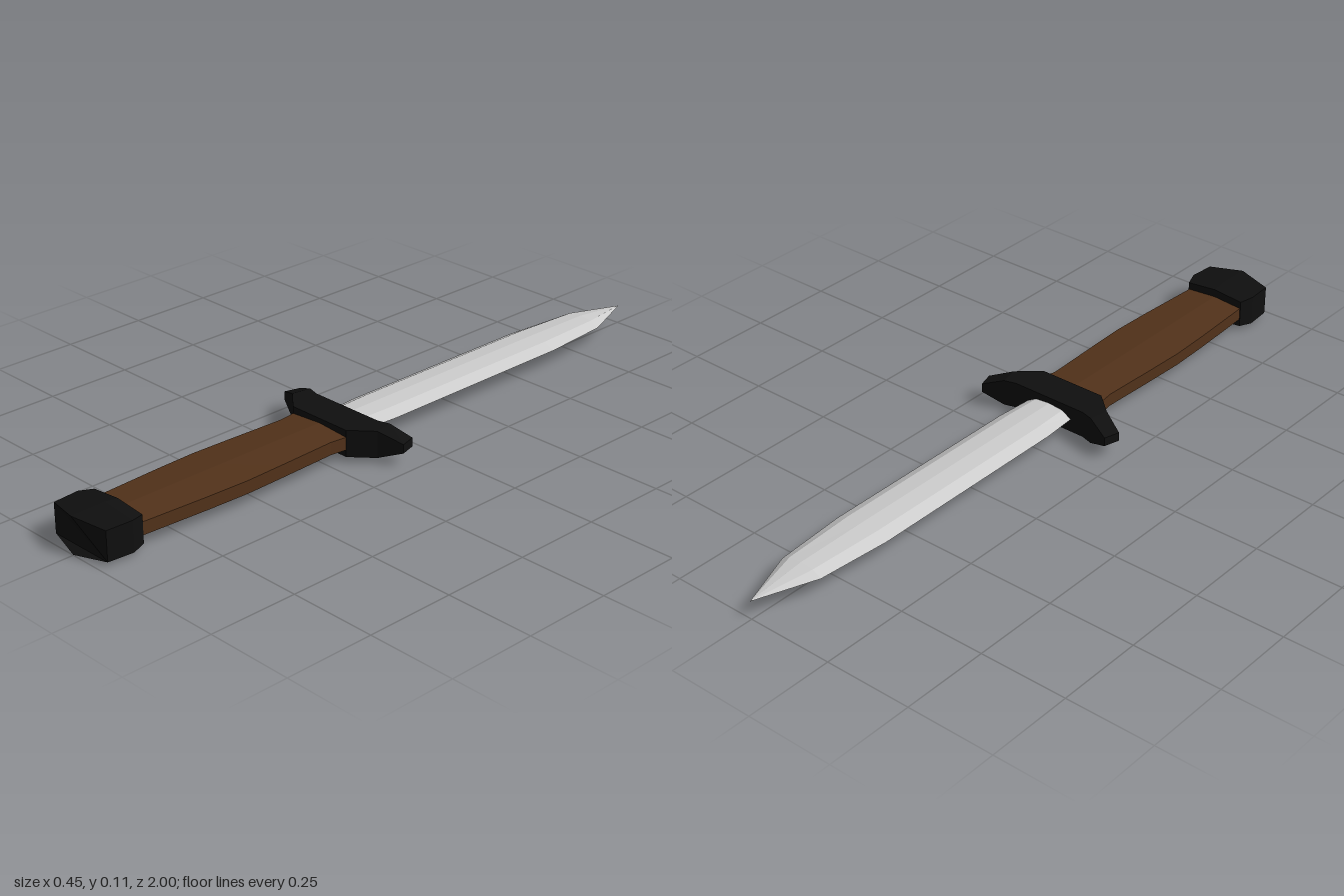
import * as THREE from 'three';

const MID = 0.055; // height of the dagger's long axis

// Skin a list of closed rings (same point count) and cap both ends.
function loft(rings) {
  const pos = [];
  const n = rings[0].length;
  const tri = (...pts) => pts.forEach((p) => pos.push(...p));
  for (let k = 0; k < rings.length - 1; k++) {
    for (let i = 0; i < n; i++) {
      const j = (i + 1) % n;
      const [a, b, c, d] = [rings[k][i], rings[k][j], rings[k + 1][j], rings[k + 1][i]];
      tri(a, b, c);
      tri(a, c, d);
    }
  }
  const first = rings[0], last = rings[rings.length - 1];
  for (let i = 1; i < n - 1; i++) {
    tri(first[0], first[i + 1], first[i]);
    tri(last[0], last[i], last[i + 1]);
  }
  const geometry = new THREE.BufferGeometry();
  geometry.setAttribute('position', new THREE.Float32BufferAttribute(pos, 3));
  geometry.computeVertexNormals();
  return geometry;
}

// Six-sided ring: upright sides with a shallow ridge above and below.
function ridgedRing([z, w, side, ridge, zRidge = z]) {
  return [
    [w, -side, z], [w, side, z], [0, ridge, zRidge],
    [-w, side, z], [-w, -side, z], [0, -ridge, zRidge],
  ];
}

// Eight-sided ring: sharp edges, bevels and a central ridge.
function bladeRing([z, w, t]) {
  const b = w * 0.6, bt = t * 0.8;
  return [
    [w, 0, z], [b, bt, z], [0, t, z], [-b, bt, z],
    [-w, 0, z], [-b, -bt, z], [0, -t, z], [b, -bt, z],
  ];
}

// Four-cornered ring across the guard: back and forward corner, half height.
function guardRing([xBack, zBack, xFore, zFore, h]) {
  return [[xFore, h, zFore], [xBack, h, zBack], [xBack, -h, zBack], [xFore, -h, zFore]];
}

export function createModel() {
  const model = new THREE.Group();
  model.name = 'dagger';

  const add = (name, rings, color) => {
    const material = new THREE.MeshStandardMaterial({ color, flatShading: true });
    const mesh = new THREE.Mesh(loft(rings), material);
    mesh.name = name;
    mesh.position.y = MID;
    model.add(mesh);
  };

  // Blade, from tip to guard: z, half width, half thickness
  add('blade', [
    [-1, 0.0005, 0.0005],
    [-0.83, 0.065, 0.019],
    [-0.62, 0.082, 0.021],
    [0, 0.082, 0.021],
    [0.13, 0.073, 0.021],
  ].map(bladeRing), 0xcccccc);

  // Guard: one arm's stations, mirrored to the other side
  const arm = [
    [0.1, 0.203, 0.115, 0.105, 0.038],
    [0.16, 0.15, 0.15, 0.095, 0.038],
    [0.225, 0.12, 0.212, 0.075, 0.0125],
  ];
  const mirrored = arm.map(([xb, zb, xf, zf, h]) => [-xb, zb, -xf, zf, h]).reverse();
  add('guard', [...mirrored, ...arm].map(guardRing), 0x0f0f0f);

  // Grip: z, half width, half height at the side, half height at the ridge
  add('grip', [
    [0.18, 0.103, 0.018, 0.025],
    [0.25, 0.094, 0.018, 0.025],
    [0.42, 0.101, 0.018, 0.025],
    [0.54, 0.105, 0.018, 0.025],
    [0.66, 0.101, 0.018, 0.025],
    [0.88, 0.089, 0.018, 0.025],
  ].map(ridgedRing), 0x52321a);

  // Pommel, its end drawn out to a ridge
  add('pommel', [
    [0.86, 0.092, 0.039, 0.048],
    [0.9, 0.105, 0.043, 0.053],
    [0.975, 0.1, 0.042, 0.052, 1],
  ].map(ridgedRing), 0x0f0f0f);

  return model;
}
